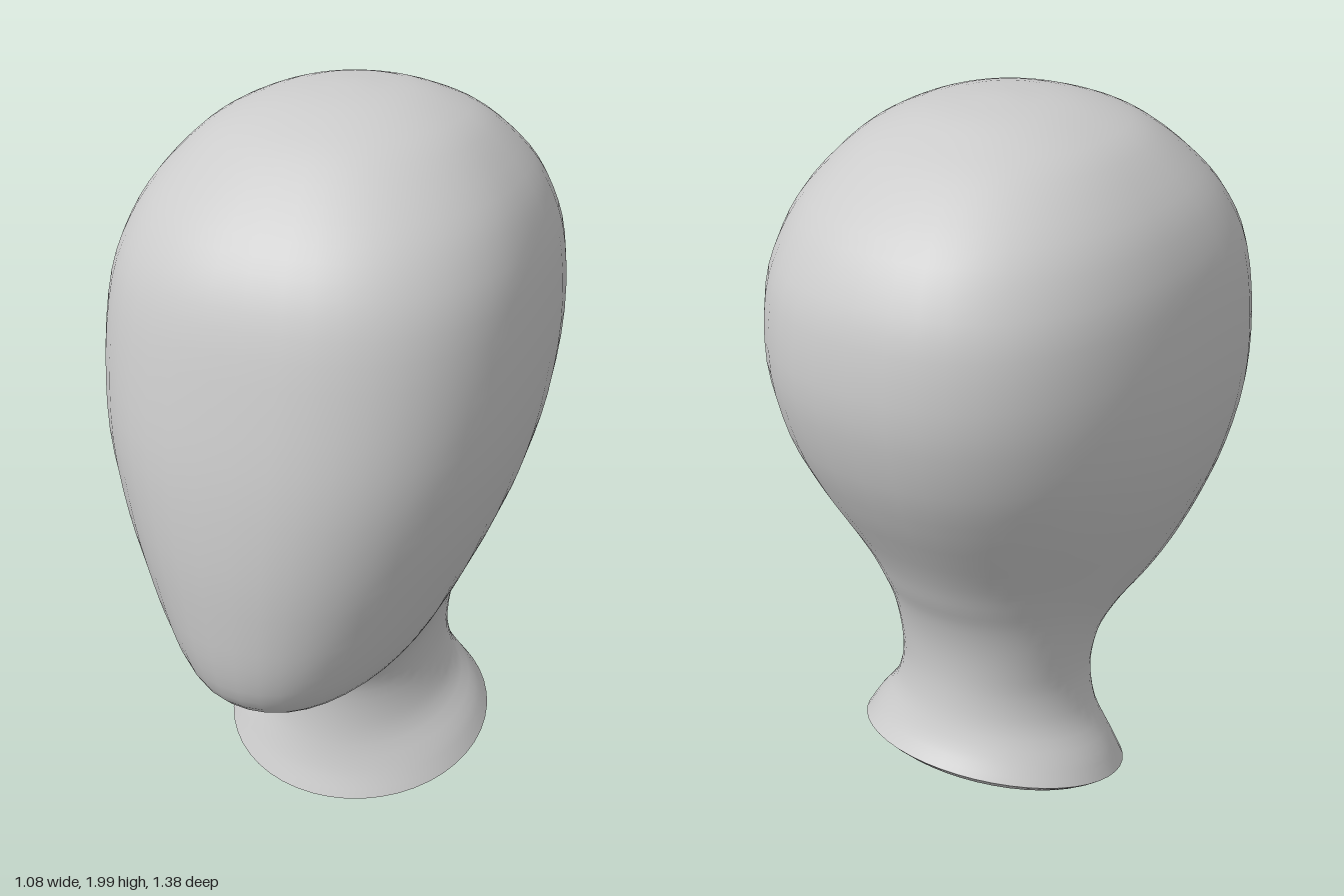
import * as THREE from 'three';
import { mergeVertices } from 'three/addons/utils/BufferGeometryUtils.js';

const SEGMENTS = 48;

// Cross-sections from neck to crown:
// front z, front y, back z, back y, half width, roundness exponent, widest point (0 back, 1 front)
const SECTIONS = [
  [0.23, 0.04, -0.44, 0.25, 0.38, 2.0, 0.5],
  [0.2, 0.12, -0.4, 0.3, 0.345, 2.0, 0.5],
  [0.18, 0.22, -0.37, 0.37, 0.285, 2.0, 0.5],
  [0.177, 0.33, -0.355, 0.45, 0.258, 2.05, 0.5],
  [0.195, 0.41, -0.354, 0.53, 0.257, 2.1, 0.49],
  [0.26, 0.475, -0.365, 0.61, 0.268, 2.1, 0.46],
  [0.4, 0.508, -0.388, 0.69, 0.287, 2.1, 0.42],
  [0.54, 0.53, -0.42, 0.76, 0.312, 2.1, 0.41],
  [0.632, 0.59, -0.45, 0.83, 0.347, 2.1, 0.42],
  [0.67, 0.69, -0.485, 0.9, 0.387, 2.15, 0.45],
  [0.685, 0.83, -0.53, 0.98, 0.435, 2.2, 0.49],
  [0.69, 1.0, -0.585, 1.08, 0.485, 2.25, 0.53],
  [0.676, 1.2, -0.645, 1.22, 0.525, 2.35, 0.56],
  [0.642, 1.4, -0.685, 1.4, 0.54, 2.4, 0.57],
  [0.6, 1.58, -0.675, 1.58, 0.528, 2.4, 0.57],
  [0.545, 1.7, -0.63, 1.7, 0.495, 2.35, 0.56],
  [0.46, 1.8, -0.555, 1.8, 0.44, 2.3, 0.55],
  [0.34, 1.9, -0.425, 1.9, 0.345, 2.25, 0.53],
  [0.24, 1.952, -0.32, 1.952, 0.255, 2.2, 0.51],
  [0.11, 1.986, -0.21, 1.986, 0.145, 2.1, 0.5],
  [-0.05, 2.0, -0.05, 2.0, 0, 2.0, 0.5],
];

// Points of one closed, tilted, egg-shaped cross-section
function ring([zf, yf, zb, yb, w, n, k]) {
  const centre = zb + (zf - zb) * k;
  const power = (v) => Math.sign(v) * Math.abs(v) ** (2 / n);
  return Array.from({ length: SEGMENTS }, (_, i) => {
    const a = (i / SEGMENTS) * Math.PI * 2;
    const c = power(Math.cos(a));
    const z = centre + c * (c > 0 ? zf - centre : centre - zb);
    const t = zf === zb ? 0 : (z - zb) / (zf - zb);
    return new THREE.Vector3(w * power(Math.sin(a)), yb + (yf - yb) * t, z);
  });
}

// Smooth skin over a stack of rings
function skin(rings, name) {
  const index = [];
  for (let r = 0; r < rings.length - 1; r++) {
    for (let i = 0; i < SEGMENTS; i++) {
      const j = (i + 1) % SEGMENTS;
      const a = r * SEGMENTS + i, b = r * SEGMENTS + j;
      index.push(a, b, b + SEGMENTS, a, b + SEGMENTS, a + SEGMENTS);
    }
  }
  let geometry = new THREE.BufferGeometry().setFromPoints(rings.flat());
  geometry.setIndex(index);
  geometry = mergeVertices(geometry, 1e-5);
  geometry.computeVertexNormals();
  const mesh = new THREE.Mesh(geometry, new THREE.MeshStandardMaterial({ color: 0xcccccc }));
  mesh.name = name;
  return mesh;
}

export function createModel() {
  const group = new THREE.Group();
  group.name = 'mannequinHead';

  // Head and neck: sections interpolated along smooth curves
  const curve = (pick) => new THREE.CatmullRomCurve3(
    SECTIONS.map((s) => new THREE.Vector3(...pick(s))), false, 'catmullrom', 0.5);
  const front = curve((s) => [s[0], s[1], 0]);
  const back = curve((s) => [s[2], s[3], 0]);
  const shape = curve((s) => [s[4], s[5], s[6]]);
  const steps = (SECTIONS.length - 1) * 3;
  const rings = [];
  for (let i = 0; i <= steps; i++) {
    const f = front.getPoint(i / steps), b = back.getPoint(i / steps), s = shape.getPoint(i / steps);
    rings.push(ring([f.x, f.y, b.x, b.y, s.x, s.y, s.z]));
  }
  group.add(skin(rings, 'headAndNeck'));

  // Neck base: tilted, slightly domed underside
  const rim = ring(SECTIONS[0]);
  const middle = new THREE.Vector3(0, 0.145, -0.105);
  const dome = [0, 0.25, 0.5, 0.7, 0.82, 0.91, 0.97, 1].map((s) => rim.map((p) => {
    const q = middle.clone().lerp(p, s);
    q.y -= 0.07 * (1 - s ** 5);
    return q;
  }));
  group.add(skin(dome, 'neckBase'));

  return group;
}
